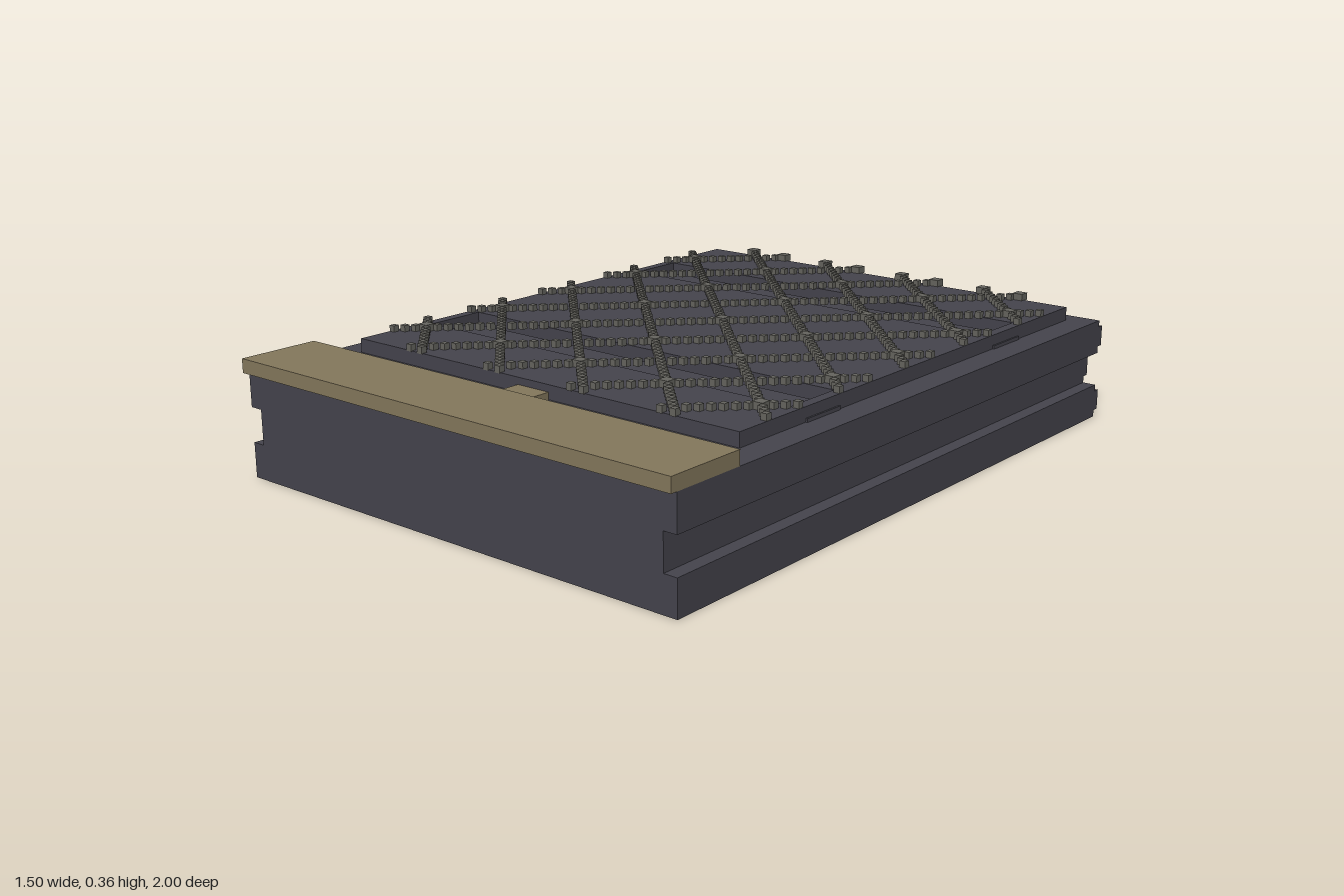
import * as THREE from 'three';
import { mergeGeometries } from 'three/addons/utils/BufferGeometryUtils.js';

const slate = new THREE.MeshStandardMaterial({ color: 0x45444d });
slate.name = 'dark slate';
const brass = new THREE.MeshStandardMaterial({ color: 0x84785c });
brass.name = 'dull brass';
const grey = new THREE.MeshStandardMaterial({ color: 0x66655f });
grey.name = 'warm grey';

// Box given by its limits on each axis
function box(x0, x1, y0, y1, z0, z1) {
  return new THREE.BoxGeometry(x1 - x0, y1 - y0, z1 - z0)
    .translate((x0 + x1) / 2, (y0 + y1) / 2, (z0 + z1) / 2);
}

function rectangle(Type, x, z0, z1) {
  const p = new Type();
  p.moveTo(-x, z0);
  p.lineTo(x, z0);
  p.lineTo(x, z1);
  p.lineTo(-x, z1);
  p.closePath();
  return p;
}

export function createModel() {
  const model = new THREE.Group();
  const add = (name, geometry, material) => {
    const mesh = new THREE.Mesh(geometry, material);
    mesh.name = name;
    model.add(mesh);
  };

  // Body with a groove along each side
  const half = [[0.75, 0], [0.75, 0.1], [0.71, 0.1], [0.71, 0.2], [0.75, 0.2], [0.75, 0.3]];
  const outline = [...half, ...half.map(([x, y]) => [-x, y]).reverse()];
  const profile = new THREE.Shape(outline.map(([x, y]) => new THREE.Vector2(x, y)));
  add('body', new THREE.ExtrudeGeometry(profile, { depth: 1.96, bevelEnabled: false })
    .translate(0, 0, -0.98), slate);

  // Three ribs across the back
  [0.75, 0.71, 0.75].forEach((x, i) =>
    add('backRib', box(-x, x, 0.02 + i * 0.1, 0.08 + i * 0.1, -1, -0.98), slate));

  // Raised panel with two shallow channels (shape y becomes -z)
  const panel = rectangle(THREE.Shape, 0.67, -0.66, 0.92);
  for (const z of [-0.56, 0.33]) {
    panel.holes.push(rectangle(THREE.Path, 0.64, -z - 0.09, -z + 0.09));
    add('channelStrap', box(-0.675, 0.675, 0.3, 0.31, z - 0.07, z + 0.07), slate);
  }
  add('panel', new THREE.ExtrudeGeometry(panel, { depth: 0.04, bevelEnabled: false })
    .rotateX(-Math.PI / 2).translate(0, 0.3, 0), slate);

  // Front bar and its tab
  add('frontBar', box(-0.75, 0.75, 0.3, 0.34, 0.76, 1), brass);
  add('frontTab', box(-0.055, 0.055, 0.3, 0.32, 0.66, 0.76), brass);

  // Diagonal lattice of small beads, with larger knots where strands meet
  const n = 14, step = 0.298 / n, midZ = -0.113;
  const beads = [], knots = [];
  for (let i = -31; i <= 31; i++) {
    for (let j = -38; j <= 36; j++) {
      if ((i + j) % n !== 0 && (i - j) % n !== 0) continue;
      const x = i * step, z = midZ + j * step;
      const knot = (i % n === 0 && j % n === 0) || j === -38;
      const r = knot ? 0.016 : 0.009;
      (knot ? knots : beads).push(box(x - r, x + r, 0.338, knot ? 0.36 : 0.358, z - r, z + r));
    }
  }
  add('latticeBeads', mergeGeometries(beads), grey);
  add('latticeKnots', mergeGeometries(knots), grey);

  return model;
}
